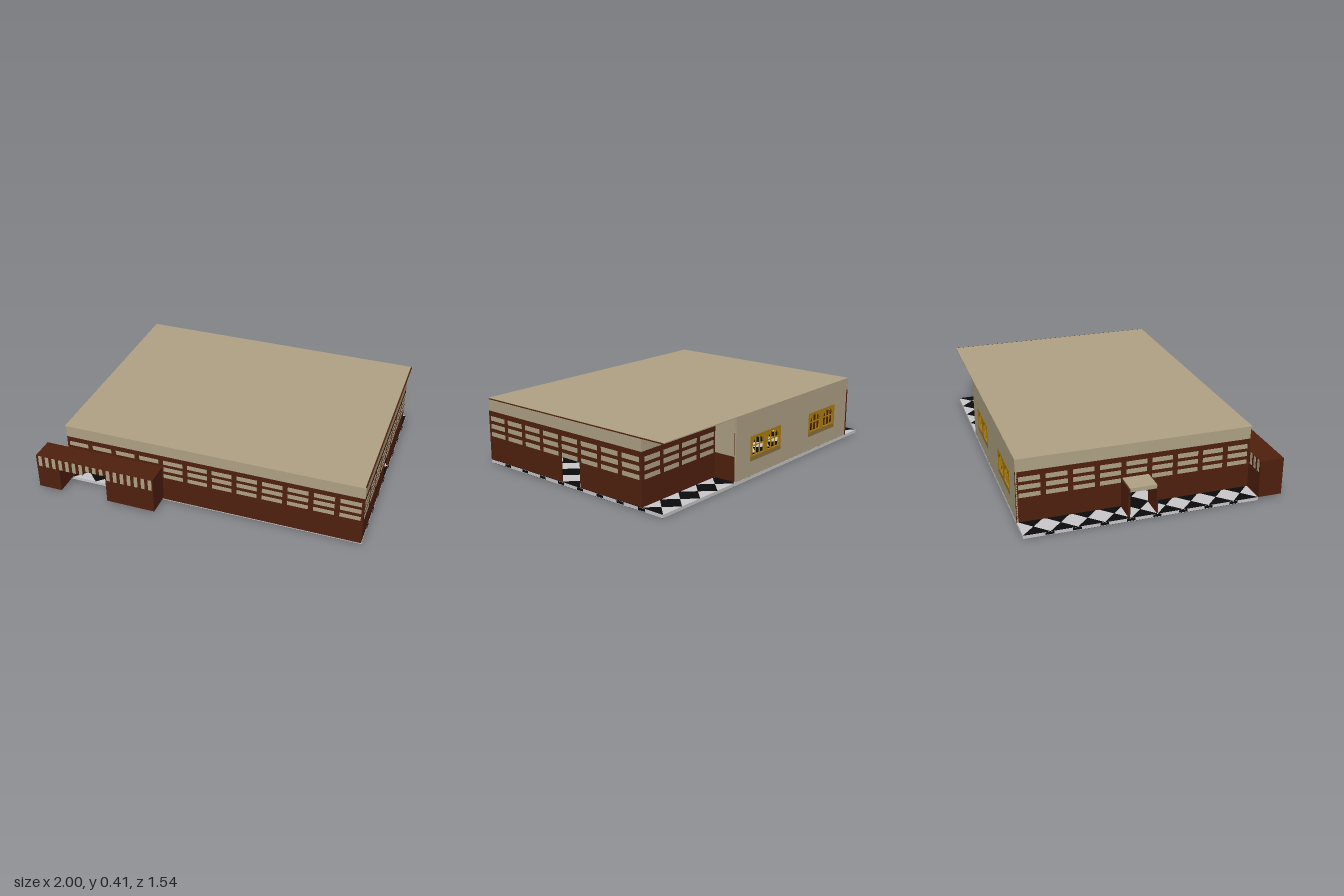
import * as THREE from 'three';
import { mergeGeometries } from 'three/addons/utils/BufferGeometryUtils.js';

const mat = (name, color) => new THREE.MeshStandardMaterial({ name, color });

export function createModel() {
  const brown = mat('brick brown', 0x50200e);
  const beige = mat('plaster beige', 0xb0a285);
  const pale = mat('floor pale', 0xcac8ca);
  const black = mat('floor black', 0x0b0b0b);
  const gold = mat('window gold', 0xb0800f);
  const olive = mat('sill olive', 0x8c7440);

  const model = new THREE.Group();
  model.name = 'building';

  // Box geometry given by its two corners
  const block = (x0, x1, y0, y1, z0, z1) =>
    new THREE.BoxGeometry(x1 - x0, y1 - y0, z1 - z0)
      .translate((x0 + x1) / 2, (y0 + y1) / 2, (z0 + z1) / 2);
  const add = (parent, name, material, ...geos) => {
    const mesh = new THREE.Mesh(geos.length > 1 ? mergeGeometries(geos) : geos[0], material);
    mesh.name = name;
    parent.add(mesh);
    return mesh;
  };
  const outline = (pts) => new THREE.Shape(pts.map(([x, y]) => new THREE.Vector2(x, y)));
  const extrude = (shape, depth) =>
    new THREE.ExtrudeGeometry(shape, { depth, bevelEnabled: false, curveSegments: 8 });

  // Chequered floor: black diamonds set through a pale slab
  add(model, 'floorSlab', pale, block(-1, 1, 0.001, 0.02, -0.77, 0.62));
  const stepX = 2 / 13, stepZ = 1.39 / 9, diamonds = [];
  const clampX = (x) => Math.max(-0.999, Math.min(0.999, x));
  for (let i = 0; i <= 13; i++) {
    for (let k = 0; k < 9; k++) {
      const cx = -1 + i * stepX, cz = -0.77 + (k + 0.5) * stepZ;
      const diamond = outline([
        [clampX(cx - stepX / 2), -cz], [cx === -1 ? -0.999 : clampX(cx), -cz - stepZ / 2],
        [clampX(cx + stepX / 2), -cz], [cx === -1 ? -0.999 : clampX(cx), -cz + stepZ / 2],
      ]);
      diamonds.push(extrude(diamond, 0.021).rotateX(-Math.PI / 2));
    }
  }
  add(model, 'floorDiamonds', black, ...diamonds);

  // Dark marks on the floor's side edges
  const marks = [];
  for (let k = -4; k <= 3; k++) {
    for (const s of [-1, 1]) {
      marks.push(block(s - 0.001, s + 0.001, 0.004, 0.019, k * 0.155 - 0.025, k * 0.155 + 0.025));
    }
  }
  add(model, 'floorEdgeMarks', black, ...marks);

  // Brick wall along local x, facing local +z, with an optional doorway [x0, x1, top]
  const rows = [[0.172, 0.198], [0.221, 0.249], [0.27, 0.298]];
  function brickWall(name, length, position, turn, base, door) {
    const wall = new THREE.Group();
    wall.name = name;
    wall.position.set(...position);
    wall.rotation.y = turn;
    const notch = door
      ? [[door[0], base], [door[0], door[2]], [door[1], door[2]], [door[1], base]] : [];
    const face = outline([[0, base], ...notch, [length, base], [length, 0.33], [0, 0.33]]);
    add(wall, name + 'Brick', brown, extrude(face, 0.012).translate(0, 0, -0.012));
    add(wall, name + 'Fascia', beige, block(0, length, 0.33, 0.404, -0.012, 0));
    const count = Math.round(length / 0.155), step = length / count, dashes = [];
    for (let i = 0; i < count; i++) {
      const mid = (i + 0.5) * step;
      for (const [y0, y1] of rows) {
        if (door && mid > door[0] && mid < door[1] && y0 < door[2]) continue;
        dashes.push(block(mid - step * 0.4, mid + step * 0.4, y0, y1, -0.014, 0.002));
      }
    }
    add(wall, name + 'Dashes', beige, ...dashes);
    model.add(wall);
  }
  const q = Math.PI / 2;
  brickWall('frontWall', 1.853, [-0.855, 0, 0.622], 0, 0.008, [0.005, 0.315, 0.205]);
  brickWall('leftWall', 1.24, [0.997, 0, 0.62], q, 0.02, [0.62, 0.775, 0.171]);
  brickWall('rightWall', 1.39, [-0.857, 0, -0.77], -q, 0.02, [0.615, 0.77, 0.171]);
  brickWall('rearRecessWall', 0.62, [0.99, 0, -0.62], 2 * q, 0.02);

  // Return wall beside the recess
  add(model, 'returnWallBase', brown, block(0.358, 0.37, 0.02, 0.172, -0.758, -0.62));
  add(model, 'returnWallTop', beige, block(0.358, 0.37, 0.172, 0.404, -0.758, -0.62));

  // Plaster rear wall with two window openings and a brown inner lining
  const windows = [[-0.70, -0.39], [-0.08, 0.23]];
  const rearShape = (top) => {
    const shape = outline([[-0.857, 0.02], [0.37, 0.02], [0.37, top], [-0.857, top]]);
    for (const [a, b] of windows) {
      shape.holes.push(outline([[a, 0.11], [a, 0.262], [b, 0.262], [b, 0.11]]));
    }
    return shape;
  };
  add(model, 'rearWall', beige, extrude(rearShape(0.404), 0.008).translate(0, 0, -0.769));
  add(model, 'rearWallLining', brown, extrude(rearShape(0.33), 0.003).translate(0, 0, -0.761));

  // Twin arched windows
  windows.forEach(([a, b], n) => {
    const win = new THREE.Group();
    win.name = 'archedWindow' + (n + 1);
    const frame = outline([[a, 0.135], [b, 0.135], [b, 0.262], [a, 0.262]]);
    const bars = [], w = (b - a) / 2;
    for (let i = 0; i < 2; i++) {
      const c = a + w * (i + 0.5), r = 0.058;
      const arch = new THREE.Path();
      arch.moveTo(c - r, 0.142);
      arch.lineTo(c + r, 0.142);
      arch.lineTo(c + r, 0.19);
      arch.absarc(c, 0.19, r, 0, Math.PI, false);
      arch.closePath();
      frame.holes.push(arch);
      for (const s of [-1, 1]) bars.push(block(c + s * 0.02 - 0.003, c + s * 0.02 + 0.003, 0.14, 0.245, -0.767, -0.761));
      bars.push(block(c - r, c + r, 0.195, 0.201, -0.767, -0.761));
    }
    add(win, 'windowFrame', gold, extrude(frame, 0.011).translate(0, 0, -0.7695));
    add(win, 'windowBars', gold, ...bars);
    add(win, 'windowSill', olive, block(a, b, 0.11, 0.135, -0.77, -0.757));
    model.add(win);
  });

  // Flat roof
  add(model, 'roof', beige, block(-0.86, 0.992, 0.402, 0.408, -0.77, 0.628));
  add(model, 'roofEdge', brown, block(0.992, 1, 0.402, 0.406, -0.77, 0.615));

  // Front entrance: two piers joined by a lintel
  const zb = 0.622, zf = 0.768;
  add(model, 'entrancePiers', brown,
    block(-1, -0.85, 0.02, 0.25, zb, zf), block(-0.54, -0.23, 0.02, 0.25, zb, zf));
  add(model, 'entranceLintel', brown,
    block(-0.85, -0.69, 0.175, 0.25, zb, zf), block(-0.69, -0.54, 0.205, 0.25, zb, zf));
  const stripes = [];
  for (let i = 0; i < 17; i++) {
    const x = -0.985 + i * 0.0453;
    const low = x > -0.7 && x < -0.54 ? 0.206 : 0.176;
    stripes.push(block(x, x + 0.023, low, 0.249, x < -0.88 ? zb - 0.002 : zf - 0.002, zf + 0.002));
  }
  add(model, 'entranceStripes', beige, ...stripes);

  // Side porch: two cheek walls under a small flat roof
  add(model, 'porchWalls', brown,
    block(-0.99, -0.857, 0.02, 0.195, -0.168, -0.158), block(-0.99, -0.857, 0.02, 0.195, -0.002, 0.006));
  add(model, 'porchRoof', beige, block(-0.99, -0.857, 0.176, 0.2, -0.16, -0.002));

  return model;
}
